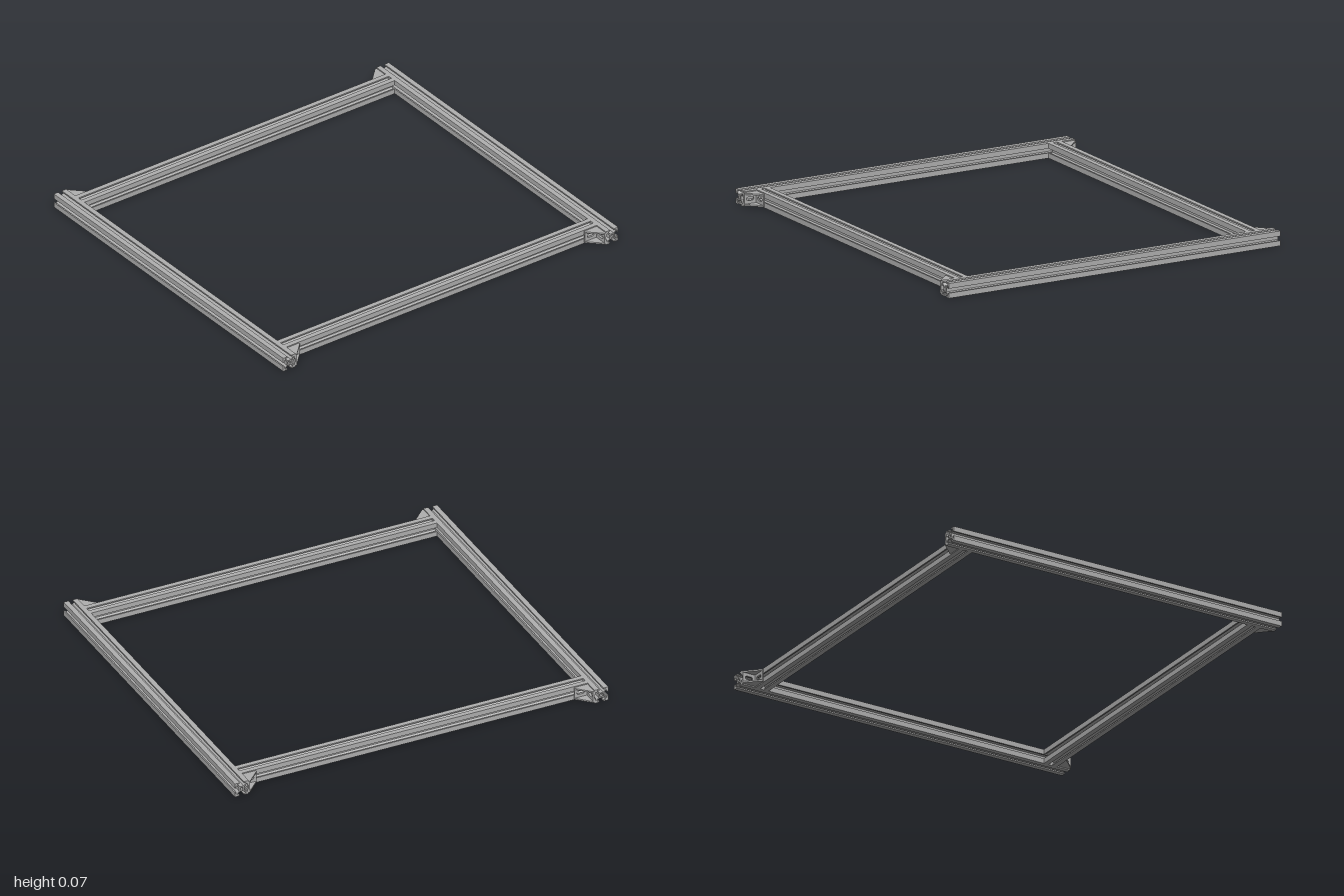
import * as THREE from 'three';

// Dimensions are in millimetres; the whole frame is 540 mm wide = 2 units.
const SCALE = 2 / 540;
const LENGTH = 500;
const SIZE = 20;

// T-slot section: one quarter outline repeated by rotation, with a square bore
function railShape() {
  const quarter = [
    [10, 10], [3, 10], [3, 8.2], [6, 8.2], [6, 7.1], [2.7, 3.8],
    [-2.7, 3.8], [-6, 7.1], [-6, 8.2], [-3, 8.2], [-3, 10],
  ];
  const points = [];
  for (let i = 0; i < 4; i++) {
    const turn = i * Math.PI / 2;
    for (const [x, y] of quarter) {
      points.push(new THREE.Vector2(x, y).rotateAround(new THREE.Vector2(), turn));
    }
  }
  const shape = new THREE.Shape(points);
  shape.holes.push(polygon(THREE.Path, [[-2, -2], [-2, 2], [2, 2], [2, -2]]));
  return shape;
}

function polygon(Type, points) {
  return new Type(points.map(([x, y]) => new THREE.Vector2(x, y)));
}

function extrude(shape, depth) {
  return new THREE.ExtrudeGeometry(shape, { depth, bevelEnabled: false, curveSegments: 8 });
}

export function createModel() {
  const aluminium = new THREE.MeshStandardMaterial({ color: 0xb0b0b0 });
  aluminium.name = 'aluminium grey';

  const model = new THREE.Group();
  model.name = 'extrusionFrame';
  const frame = new THREE.Group();
  frame.name = 'frame';
  frame.scale.setScalar(SCALE);
  frame.position.y = SIZE / 2 * SCALE;
  model.add(frame);

  const add = (parent, name, geometry) => {
    const mesh = new THREE.Mesh(geometry, aluminium);
    mesh.name = name;
    parent.add(mesh);
    return mesh;
  };

  // Two side rails with two cross rails set in from their ends
  const rail = extrude(railShape(), LENGTH).translate(0, 0, -LENGTH / 2);
  const crossRail = rail.clone().rotateY(Math.PI / 2);
  for (const s of [-1, 1]) {
    add(frame, s > 0 ? 'leftRail' : 'rightRail', rail).position.x = s * 260;
    add(frame, s > 0 ? 'frontRail' : 'backRail', crossRail).position.z = s * 220;
  }

  // Bracket flange with a rounded bolt slot
  const flangeShape = polygon(THREE.Shape, [[0, -6.5], [20, -6.5], [20, 6.5], [0, 6.5]]);
  const slot = new THREE.Path();
  slot.absarc(8, 0, 2.4, Math.PI / 2, Math.PI * 1.5, false);
  slot.absarc(14, 0, 2.4, -Math.PI / 2, Math.PI / 2, false);
  slot.closePath();
  flangeShape.holes.push(slot);
  const flange = extrude(flangeShape, 2);
  const sideFlange = flange.clone().rotateY(-Math.PI / 2).translate(2, 0, 0);

  // Triangular gusset closing the top and bottom of a bracket
  const gusset = extrude(
    polygon(THREE.Shape, [[0, 0], [20, 0], [20, 2], [2, 20], [0, 20]]), 2,
  ).rotateX(Math.PI / 2);

  // Brackets sit in the four outer corners, each a quarter turn from the next
  const corners = [
    ['frontRightBracket', -250, 230, 0],
    ['frontLeftBracket', 250, 230, -1],
    ['backLeftBracket', 250, -230, 2],
    ['backRightBracket', -250, -230, 1],
  ];
  for (const [name, x, z, turns] of corners) {
    const bracket = new THREE.Group();
    bracket.name = name;
    bracket.position.set(x, 0, z);
    bracket.rotation.y = turns * Math.PI / 2;
    add(bracket, 'crossFlange', flange);
    add(bracket, 'sideFlange', sideFlange);
    add(bracket, 'upperGusset', gusset).position.y = 8.5;
    add(bracket, 'lowerGusset', gusset).position.y = -6.5;
    frame.add(bracket);
  }

  return model;
}
